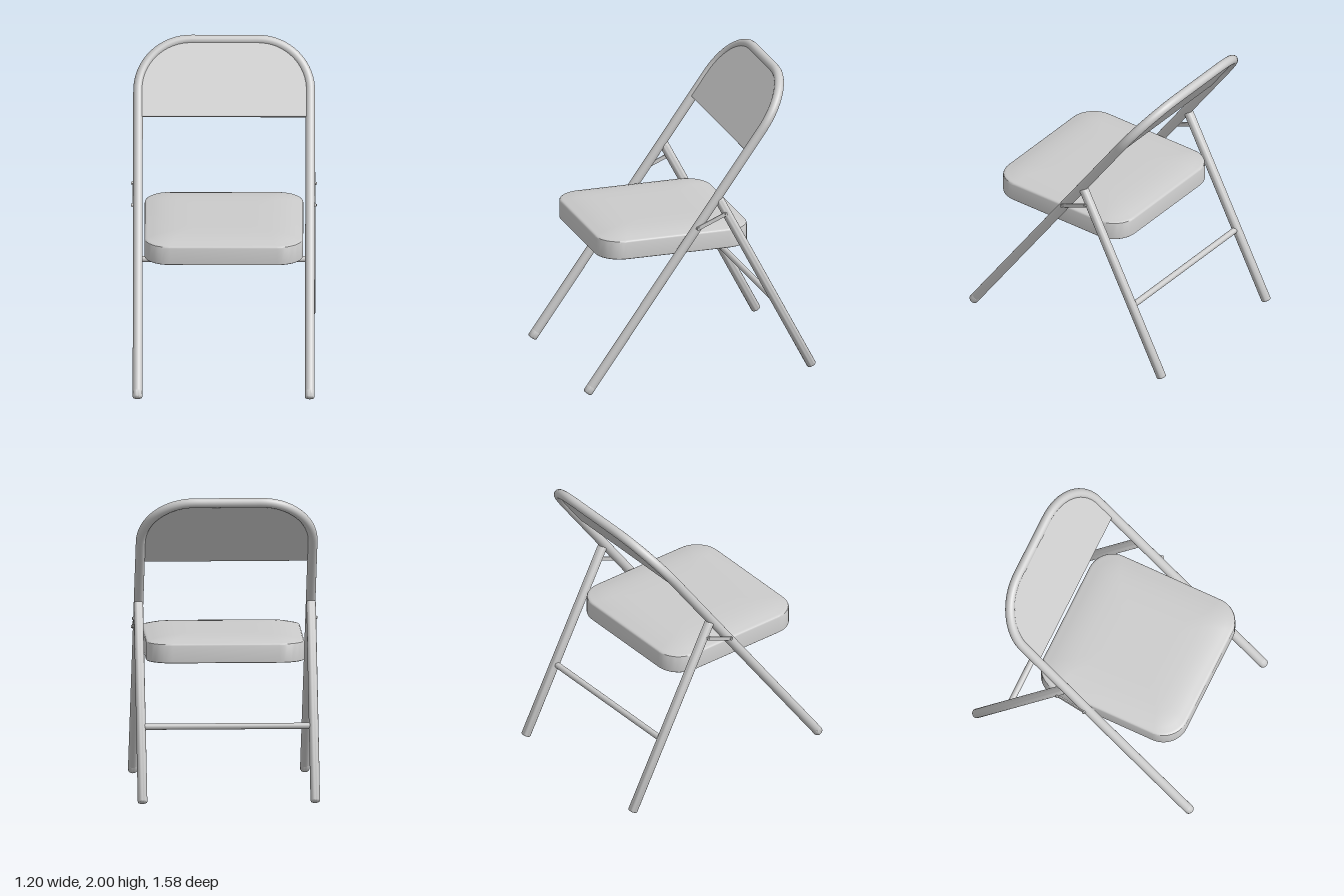
import * as THREE from 'three';
import { toCreasedNormals } from 'three/addons/utils/BufferGeometryUtils.js';

const grey = new THREE.MeshStandardMaterial({ color: 0xcccccc });
const TUBE = 0.031;   // leg tube radius
const HALF = 0.556;   // leg spacing from the centre
const BEND = 0.34;    // radius of the arch corners

function part(name, geometry) {
  const mesh = new THREE.Mesh(geometry, grey);
  mesh.name = name;
  return mesh;
}

// Round bar standing on y = 0 with softened ends
function bar(name, radius, length) {
  const c = radius * 0.3;
  const profile = [[0, 0], [radius - c, 0], [radius - c * 0.3, c * 0.3], [radius, c],
    [radius, length - c], [radius - c * 0.3, length - c * 0.3], [radius - c, length], [0, length]]
    .map(([x, y]) => new THREE.Vector2(x, y));
  return part(name, toCreasedNormals(new THREE.LatheGeometry(profile, 24), 0.9));
}

// Arch outline from the left foot over the top to the right foot
function arch(path, half, bottom, top, r) {
  path.moveTo(-half, bottom);
  path.lineTo(-half, top - r);
  path.absarc(-half + r, top - r, r, Math.PI, Math.PI / 2, true);
  path.absarc(half - r, top - r, r, Math.PI / 2, 0, true);
  path.lineTo(half, bottom);
  return path;
}

// Front legs and back arch bent from one tube, with the back panel
function frontFrame() {
  const group = new THREE.Group();
  group.name = 'frontFrame';
  const length = 2.398;
  const points = arch(new THREE.Path(), HALF, 0.03, length, BEND).getSpacedPoints(100)
    .map((p) => new THREE.Vector3(p.x, p.y, 0));
  group.add(part('frameTube',
    new THREE.TubeGeometry(new THREE.CatmullRomCurve3(points), 160, TUBE, 20)));
  for (const side of [-1, 1]) {
    const foot = bar('frontFoot', TUBE, 0.06);
    foot.position.x = side * HALF;
    group.add(foot);
  }
  const outline = arch(new THREE.Shape(), HALF - 0.012, 1.885, length - 0.012, BEND - 0.012);
  const panel = part('backPanel', new THREE.ExtrudeGeometry(outline,
    { depth: 0.016, bevelThickness: 0.005, bevelSize: 0.005, bevelSegments: 3, curveSegments: 24 }));
  panel.position.z = -0.003;
  group.add(panel);
  group.position.set(0, 0.017, 0.766);
  group.rotation.x = -Math.atan(0.7136);
  return group;
}

// Rear legs joined by a crossbar
function rearFrame() {
  const group = new THREE.Group();
  group.name = 'rearFrame';
  const lean = Math.atan2(0.635, 1.215);
  for (const side of [-1, 1]) {
    const leg = bar('rearLeg', TUBE, 1.371);
    leg.position.x = side * (HALF + 0.002);
    group.add(leg);
  }
  const cross = part('crossbar', new THREE.CylinderGeometry(0.02, 0.02, HALF * 2 - 0.02, 16));
  cross.rotation.z = Math.PI / 2;
  cross.position.y = 0.52;
  group.add(cross);
  group.position.set(0, 0.035, -0.765);
  group.rotation.x = lean;
  return group;
}

// Hollow seat pan with a softly domed top, lofted from rounded rectangles
function seat() {
  const profile = [[0.49, 1.025], [0.3, 1.025], [0.12, 1.018], [0.015, 0.998], [0.015, 0.89],
    [0.012, 0.887], [0.003, 0.887], [0, 0.89], [0, 1.0], [0.003, 1.008], [0.01, 1.013],
    [0.02, 1.015], [0.05, 1.023], [0.09, 1.031], [0.14, 1.037], [0.2, 1.041],
    [0.3, 1.043], [0.49, 1.043]]; // inset, height
  const steps = 10, count = 4 * (steps + 1);
  const position = [], index = [];
  for (const [inset, y] of profile) {
    const hx = 0.512 - inset, hz = 0.5125 - inset;
    const r = Math.min(Math.max(0.165 - inset * 0.7, 0.05), hx * 0.9);
    for (let q = 0; q < 4; q++) {
      const sx = q === 0 || q === 3 ? 1 : -1, sz = q < 2 ? 1 : -1;
      for (let k = 0; k <= steps; k++) {
        const a = (q + k / steps) * Math.PI / 2;
        position.push(sx * (hx - r) + r * Math.cos(a), y, sz * (hz - r) + r * Math.sin(a));
      }
    }
  }
  for (let i = 0; i < profile.length - 1; i++) {
    for (let j = 0; j < count; j++) {
      const a = i * count + j, b = i * count + (j + 1) % count;
      index.push(a, a + count, b, b, a + count, b + count);
    }
  }
  // Close the middle of the underside and of the top
  const last = (profile.length - 1) * count;
  for (let j = 1; j < count - 1; j++) {
    index.push(0, j, j + 1, last, last + j + 1, last + j);
  }
  const geometry = new THREE.BufferGeometry();
  geometry.setAttribute('position', new THREE.Float32BufferAttribute(position, 3));
  geometry.setIndex(index);
  const mesh = part('seat', toCreasedNormals(geometry, 0.6));
  mesh.position.z = 0.128;
  return mesh;
}

// Folding link riveted across the front and rear legs
function link(side) {
  const group = new THREE.Group();
  group.name = 'foldingLink';
  const plate = part('linkPlate', new THREE.BoxGeometry(0.008, 0.026, 0.206));
  group.add(plate);
  for (const end of [-1, 1]) {
    const eye = part('linkEnd', new THREE.CylinderGeometry(0.013, 0.013, 0.008, 20));
    const rivet = part('rivet', new THREE.CylinderGeometry(0.009, 0.011, 0.03, 16));
    for (const m of [eye, rivet]) {
      m.rotation.z = -side * Math.PI / 2;
      m.position.z = end * 0.103;
      group.add(m);
    }
    rivet.position.x = -side * 0.003;
  }
  group.position.set(side * 0.587, 1.11, -0.075);
  group.rotation.x = Math.atan2(0.08, 0.19);
  return group;
}

export function createModel() {
  const model = new THREE.Group();
  model.name = 'foldingChair';
  model.add(frontFrame(), rearFrame(), seat(), link(-1), link(1));
  return model;
}
